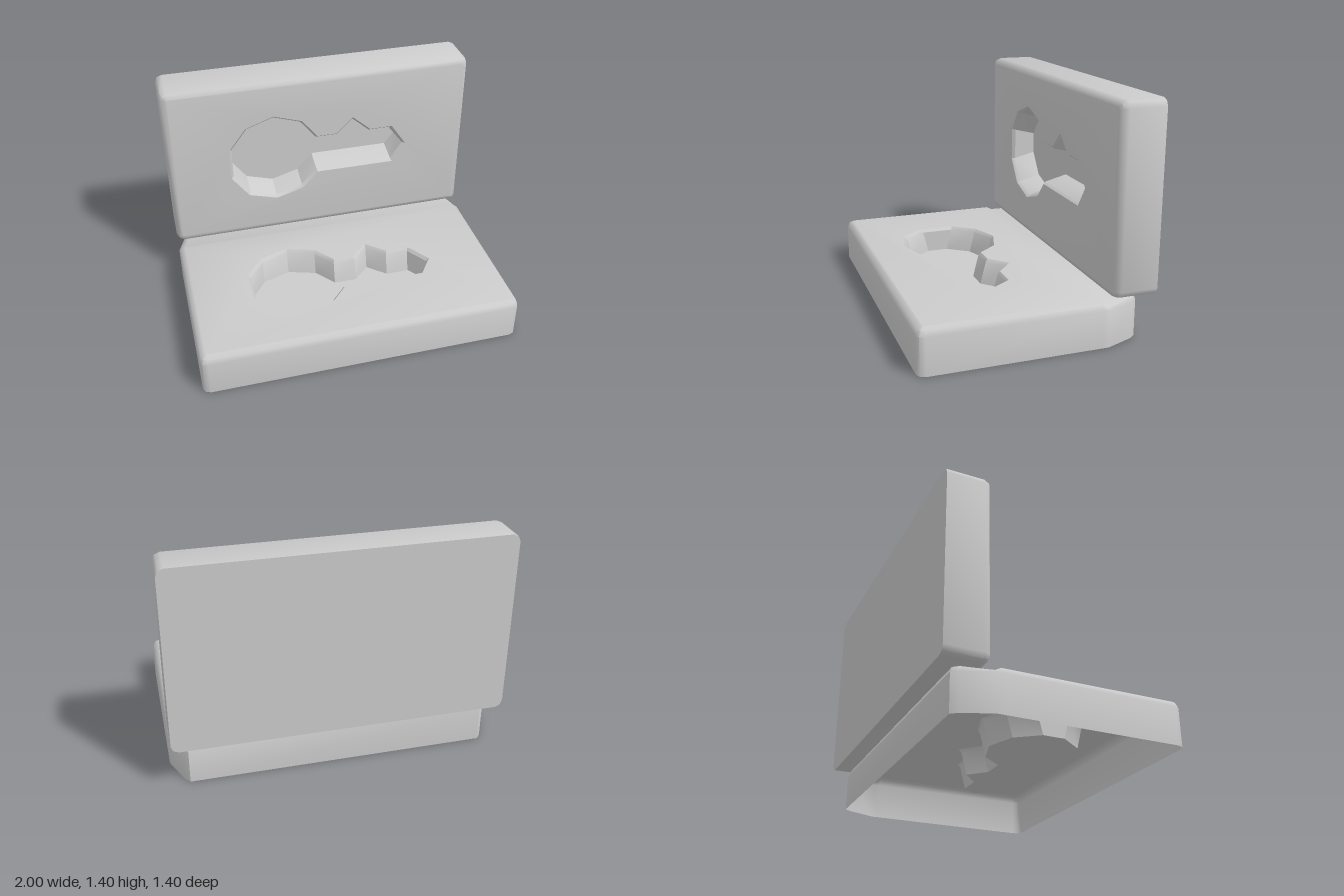
import * as THREE from 'three';
import { mergeGeometries, toCreasedNormals } from 'three/addons/utils/BufferGeometryUtils.js';

const material = new THREE.MeshStandardMaterial({ color: 0xcccccc, side: THREE.DoubleSide });

// Key outline (counter-clockwise), centred vertically on its plate
const KEY = [
  [-0.6, 0.105], [-0.6, -0.11], [-0.49, -0.26], [-0.305, -0.315], [-0.12, -0.26],
  [-0.02, -0.15], [0.5, -0.15], [0.59, -0.02], [0.49, 0.128], [0.34, 0.128],
  [0.22, 0.235], [0.11, 0.128], [-0.02, 0.128], [-0.12, 0.255], [-0.305, 0.315], [-0.49, 0.25],
];
const RADIUS = 0.045;
const DEPTH = 0.16;

// Moves every side of a counter-clockwise polygon inward by d
function inset(points, d) {
  const n = points.length;
  const normal = (a, b) => {
    const l = Math.hypot(b[0] - a[0], b[1] - a[1]);
    return [(a[1] - b[1]) / l, (b[0] - a[0]) / l];
  };
  return points.map((p, i) => {
    const a = normal(points[(i + n - 1) % n], p);
    const b = normal(p, points[(i + 1) % n]);
    const k = d / (1 + a[0] * b[0] + a[1] * b[1]);
    return [p[0] + (a[0] + b[0]) * k, p[1] + (a[1] + b[1]) * k];
  });
}

const raise = (points, w) => points.map(([u, v]) => [u, v, w]);
const mirrored = (half) => [...half, ...half.map(([u, v]) => [-u, v]).reverse()];

function fromTriangles(triangles) {
  const g = new THREE.BufferGeometry();
  g.setAttribute('position', new THREE.Float32BufferAttribute(triangles.flat(2), 3));
  return g;
}

// Skin through closed rings of equal length
function loft(rings) {
  const triangles = [];
  for (let r = 0; r + 1 < rings.length; r++) {
    const a = rings[r], b = rings[r + 1];
    a.forEach((p, i) => {
      const j = (i + 1) % a.length;
      triangles.push([p, a[j], b[j]], [p, b[j], b[i]]);
    });
  }
  return fromTriangles(triangles);
}

// Flat face at height w, with an optional hole; flip turns it downward
function face(points, w, hole, flip = false) {
  const vec = (list) => list.map(([u, v]) => new THREE.Vector2(u, v));
  const shape = new THREE.Shape(vec(points));
  if (hole) shape.holes.push(new THREE.Path(vec(hole)));
  const g = new THREE.ShapeGeometry(shape).toNonIndexed();
  g.deleteAttribute('normal');
  g.deleteAttribute('uv');
  if (flip) g.scale(1, 1, -1).rotateY(Math.PI).scale(-1, 1, 1);
  return g.translate(0, 0, w);
}

function addMesh(group, name, parts, crease) {
  const mesh = new THREE.Mesh(toCreasedNormals(mergeGeometries(parts), crease), material);
  mesh.name = name;
  group.add(mesh);
}

// Rounded corner on the right side, starting at the given angle
function corner(cu, cv, start) {
  return [0, 1, 2].map((i) => {
    const t = start + (i * Math.PI) / 4;
    return [cu + RADIUS * Math.cos(t), cv + RADIUS * Math.sin(t)];
  });
}

// Outer wall rings with a two-step rounded front edge
function wallRings(outline, bottom, top) {
  return [
    raise(outline, bottom),
    raise(outline, top - RADIUS),
    raise(inset(outline, 0.013), top - 0.013),
    raise(inset(outline, 0.04), top),
  ];
}

// Key-shaped pocket with bevelled lip, drafted sides and a floor
function addRecess(group, key, centre, top) {
  const lip = inset(key, 0.015);
  const floor = lip.map(([u, v]) => {
    const side = v - centre;
    return Math.abs(side) < 0.06 ? [u - 0.015, v] : [u, v - Math.sign(side) * 0.035];
  });
  addMesh(group, 'keyRecess', [
    loft([raise(floor, top - DEPTH), raise(lip, top - 0.02), raise(key, top)].reverse()),
    face(floor, top - DEPTH),
  ], 0.5);
}

export function createModel() {
  const model = new THREE.Group();
  model.name = 'keyMould';

  // Upright half: closed block facing forward
  const upper = new THREE.Group();
  upper.name = 'uprightHalf';
  const upperOutline = mirrored([
    ...corner(1 - RADIUS, 0.275 + RADIUS, -Math.PI / 2),
    ...corner(1 - RADIUS, 1.4 - RADIUS, 0),
  ]);
  const upperKey = KEY.map(([u, v]) => [u, v + 0.84]);
  const upperTop = -0.43;
  const upperRings = wallRings(upperOutline, -0.7, upperTop);
  addMesh(upper, 'uprightBlock', [
    loft(upperRings),
    face(upperRings[3], upperTop, upperKey),
    face(upperOutline, -0.7, null, true),
  ], 0.85);
  addRecess(upper, upperKey, 0.84, upperTop);

  // Lying half: open underneath, narrowing to a hinge strip at the back
  const base = new THREE.Group();
  base.name = 'lyingHalf';
  const baseOutline = mirrored([
    ...corner(1 - RADIUS, -0.7 + RADIUS, -Math.PI / 2),
    [1, 0.37], [1, 0.41], [0.93, 0.585], [0.9, 0.62],
  ]);
  const baseKey = KEY.map(([u, v]) => [u, v - 0.13]);
  const baseTop = 0.27;
  const baseRings = wallRings(baseOutline, 0, baseTop);
  // Shallow groove between the block and the hinge strip
  for (const ring of baseRings.slice(2)) {
    for (const p of ring) if (p[1] > 0.39 && p[1] < 0.45) p[2] -= 0.018;
  }
  const rim = baseRings[3];
  const n = rim.length;
  const strip = [];
  for (let i = 3; i < 6; i++) {
    const a = rim[i], b = rim[i + 1], c = rim[n - 2 - i], d = rim[n - 1 - i];
    strip.push([a, b, c], [a, c, d]);
  }
  addMesh(base, 'lyingBlock', [
    loft(baseRings),
    face([...rim.slice(0, 4), ...rim.slice(n - 4)], baseTop, baseKey),
    fromTriangles(strip),
  ], 0.85);
  addRecess(base, baseKey, -0.13, baseTop);
  base.rotation.x = -Math.PI / 2;

  model.add(upper, base);
  return model;
}
